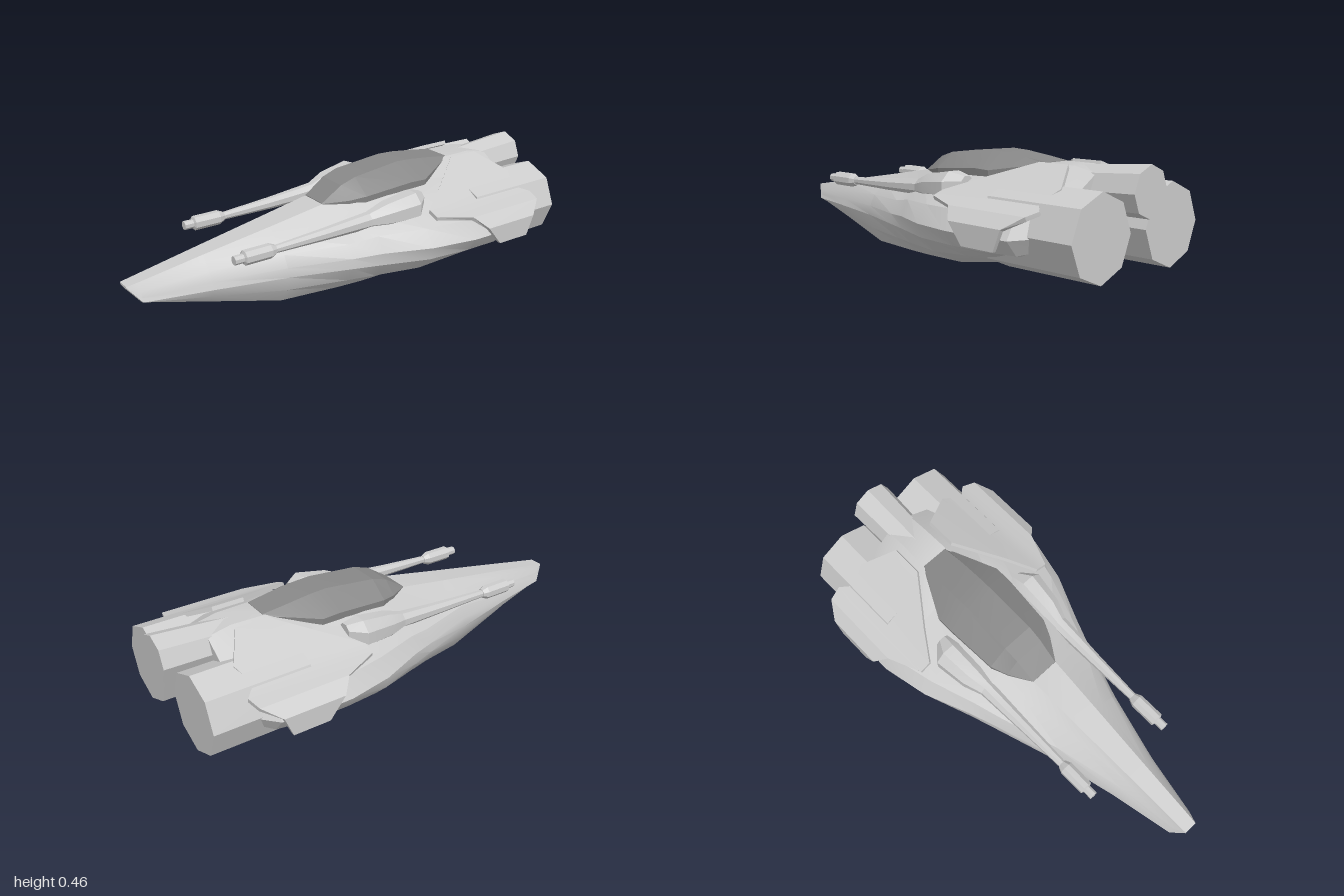
import * as THREE from 'three';
import { toCreasedNormals } from 'three/addons/utils/BufferGeometryUtils.js';

const grey = new THREE.MeshStandardMaterial({ color: 0xcccccc });
const dark = new THREE.MeshStandardMaterial({ color: 0x888888 });
const { lerp } = THREE.MathUtils;

// Skin a closed surface over rings of [x, y, z] points, capped at both ends.
function loft(rings) {
  const n = rings[0].length, last = (rings.length - 1) * n, index = [];
  for (let i = 0; i < rings.length - 1; i++) {
    for (let j = 0; j < n; j++) {
      const k = (j + 1) % n;
      const a = i * n + j, b = i * n + k, c = b + n, d = a + n;
      index.push(a, b, c, a, c, d);
    }
  }
  for (let j = 1; j < n - 1; j++) {
    index.push(0, j + 1, j, last, last + j, last + j + 1);
  }
  const geo = new THREE.BufferGeometry();
  geo.setAttribute('position', new THREE.Float32BufferAttribute(rings.flat(2), 3));
  geo.setIndex(index);
  return geo;
}

// Mirror an indexed geometry across x, keeping faces outward.
function mirrored(geo) {
  const g = geo.clone().scale(-1, 1, 1);
  g.setIndex([...geo.index.array].reverse());
  return g;
}

// Complete a right half section (bottom to top) into a symmetric ring.
function symmetricRing(z, half) {
  const right = half.map(([x, y]) => [x, y, z]);
  const left = half.map(([x, y]) => [-x, y, z]).reverse();
  return [...right, ...left];
}

// Hull section: belly, low chine, chine, widest point, shoulder, upper side, deck.
function hullRing([z, xBelly, yBelly, xChine, xWide, xShoulder, yShoulder, xDeck, yDeck]) {
  const yChine = Math.max(0.13, yBelly + 0.006);
  return symmetricRing(z, [
    [xBelly, yBelly],
    [lerp(xBelly, xChine, 0.68), lerp(yBelly, yChine, 0.5)],
    [xChine, yChine],
    [xWide, lerp(yChine, yShoulder, 0.45)],
    [xShoulder, yShoulder],
    [lerp(xShoulder, xDeck, 0.62), lerp(yShoulder, yDeck, 0.6)],
    [xDeck, yDeck],
  ]);
}

// Eight-sided ring around a centre.
function octagon(z, cx, cy, r, turn = 0) {
  return Array.from({ length: 8 }, (_, i) => {
    const a = (i / 8) * Math.PI * 2 + turn;
    return [cx + r * Math.cos(a), cy + r * Math.sin(a), z];
  });
}

export function createModel() {
  const model = new THREE.Group();
  const add = (name, geo, crease, material = grey) => {
    const mesh = new THREE.Mesh(toCreasedNormals(geo, crease), material);
    mesh.name = name;
    model.add(mesh);
  };
  const addPair = (name, geo, crease) => {
    add(name + 'Left', geo, crease);
    add(name + 'Right', mirrored(geo), crease);
  };

  // Hull, tail to nose
  const hull = [
    [-0.80, .12, .15, .30, .34, .31, .26, .06, .41],
    [-0.70, .14, .11, .38, .43, .39, .265, .06, .43],
    [-0.55, .16, .06, .41, .457, .41, .27, .065, .43],
    [-0.40, .17, .03, .41, .455, .41, .27, .14, .38],
    [-0.20, .175, 0, .39, .41, .36, .26, .17, .36],
    [0, .175, 0, .32, .325, .29, .25, .13, .355],
    [0.12, .165, 0, .28, .28, .25, .23, .065, .35],
    [0.38, .13, 0, .195, .19, .165, .22, .055, .305],
    [0.68, .08, .065, .118, .11, .09, .2, .042, .255],
    [0.95, .03, .128, .063, .056, .048, .172, .032, .208],
    [1, .025, .19, .03, .03, .03, .198, .029, .2],
  ];
  add('hull', loft(hull.map(hullRing)), 0.45);

  // Faceted canopy: z, sill half-width, sill height, roof half-width, roof height
  const canopy = [
    [-0.56, .065, .425, .06, .432],
    [-0.46, .115, .41, .065, .445],
    [-0.35, .17, .392, .066, .458],
    [-0.27, .17, .395, .066, .462],
    [-0.04, .155, .375, .07, .438],
    [0.03, .125, .362, .068, .415],
    [0.125, .065, .35, .062, .352],
  ];
  add('canopy', loft(canopy.map(([z, xSill, ySill, xRoof, yRoof]) => symmetricRing(z, [
    [xSill - 0.004, ySill - 0.035], [xSill, ySill], [xRoof, yRoof],
  ]))), 0.2, dark);

  // Main engines and the smaller dorsal engine
  addPair('engine', loft([octagon(-0.95, .213, .205, .167), octagon(-0.51, .213, .205, .167)]), 0.2);
  add('dorsalEngine', loft([octagon(-1, 0, .355, .1), octagon(-0.6, 0, .338, .086)]), 0.2);

  // Bent armour plates over the rear flanks: x, y, front z, back z, inward offset
  const plate = [
    [.10, .437, -.56, -.70, -.007, -.016],
    [.24, .367, -.37, -.785, -.007, -.016],
    [.32, .32, -.25, -.75, -.006, -.016],
    [.37, .302, -.25, -.80, -.004, -.016],
    [.43, .287, -.40, -.785, -.009, -.016],
    [.48, .24, -.45, -.715, -.016, -.007],
    [.48, .155, -.52, -.68, -.016, 0],
  ];
  addPair('armourPlate', loft(plate.map(([x, y, zf, zb, dx, dy]) => [
    [x + dx, y + dy, zf], [x + dx, y + dy, zb], [x, y, zb], [x, y, zf],
  ])), 0.2);

  // Guns: housing tapering into a barrel, then muzzle and tip
  const turn = Math.PI / 8;
  const housing = [
    [-.28, .215, .335, .035], [-.22, .233, .318, .072], [-.08, .226, .308, .058],
    [0, .216, .298, .036], [.22, .213, .288, .026], [.47, .211, .281, .016],
  ];
  addPair('gunHousing', loft(housing.map((s) => octagon(...s, turn))), 0.3);
  const muzzle = [[.45, .02], [.475, .031], [.59, .031], [.595, .019], [.635, .019]];
  addPair('gunMuzzle', loft(muzzle.map(([z, r]) => octagon(z, .211, .281, r, turn))), 0.2);

  return model;
}
